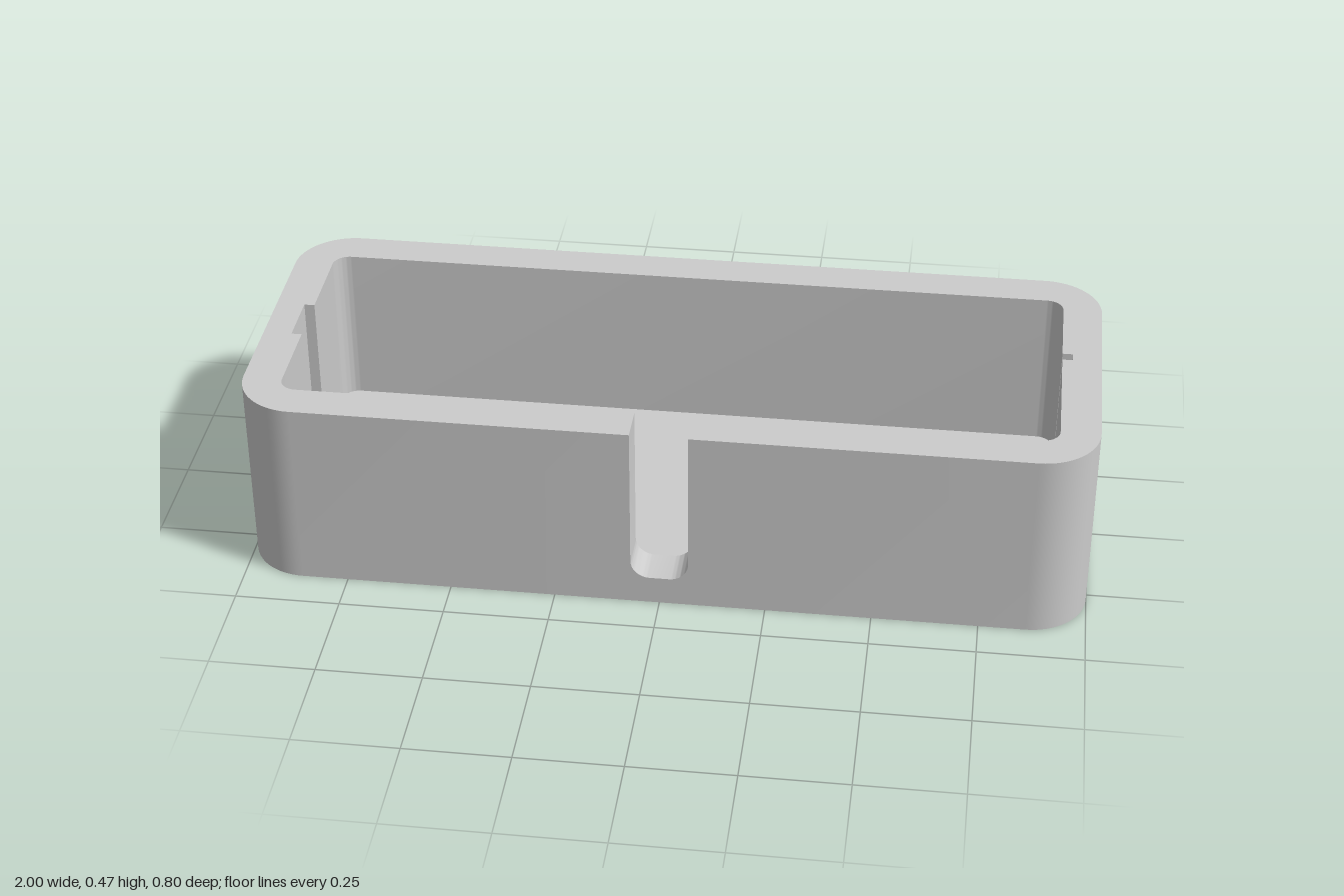
import * as THREE from 'three';
import { toCreasedNormals } from 'three/addons/utils/BufferGeometryUtils.js';

const H = 0.47, FLOOR = 0.07;            // total height, floor thickness
const OX = 1, OZ = 0.402, OR = 0.14;     // outer half sizes and corner radius
const IX = 0.907, IZ = 0.308, IR = 0.04; // cavity half sizes and corner radius
const SLOT = 0.068, SLOT_R = 0.045;      // slot half width and bottom corner radius
const NOTCH_X = 0.932;                   // depth reached by the end-wall notches

const material = new THREE.MeshStandardMaterial({ color: 0xcccccc });

// Rounded rectangle in plan (y = -z), counter-clockwise from one side of the slot to the other.
// Each notch is a [low, high] range along an end wall.
function planLoop(hx, hz, r, rightNotch, leftNotch) {
  const p = new THREE.Path();
  p.absarc(hx - r, -hz + r, r, -Math.PI / 2, 0, false);
  if (rightNotch) {
    const [a, b] = rightNotch;
    p.lineTo(hx, a).lineTo(NOTCH_X, a).lineTo(NOTCH_X, b).lineTo(hx, b);
  }
  p.absarc(hx - r, hz - r, r, 0, Math.PI / 2, false);
  p.absarc(-hx + r, hz - r, r, Math.PI / 2, Math.PI, false);
  if (leftNotch) {
    const [a, b] = leftNotch;
    p.lineTo(-hx, b).lineTo(-NOTCH_X, b).lineTo(-NOTCH_X, a).lineTo(-hx, a);
  }
  p.absarc(-hx + r, -hz + r, r, Math.PI, Math.PI * 1.5, false);
  return [new THREE.Vector2(SLOT, -hz), ...p.getPoints(8), new THREE.Vector2(-SLOT, -hz)];
}

// Ruled surface between two matching rows of points.
function ribbon(a, b) {
  const pos = [];
  for (let i = 0; i < a.length - 1; i++) {
    for (const p of [a[i], a[i + 1], b[i + 1], a[i], b[i + 1], b[i]]) pos.push(...p);
  }
  const g = new THREE.BufferGeometry();
  g.setAttribute('position', new THREE.Float32BufferAttribute(pos, 3));
  return toCreasedNormals(g, 0.6);
}

// Vertical wall over a plan line.
const wall = (pts, y0, y1) =>
  ribbon(pts.map(p => [p.x, y0, -p.y]), pts.map(p => [p.x, y1, -p.y]));

// Flat horizontal face at height y, facing up (side 1) or down (side -1).
const plate = (pts, y, side = 1) =>
  new THREE.ShapeGeometry(new THREE.Shape(pts)).rotateX(-side * Math.PI / 2).translate(0, y, 0);

export function createModel() {
  const group = new THREE.Group();
  group.name = 'openTray';
  const add = (name, geometry) => {
    const mesh = new THREE.Mesh(geometry, material);
    mesh.name = name;
    group.add(mesh);
  };

  const outer = planLoop(OX, OZ, OR);
  const inner = planLoop(IX, IZ, IR, [0.042, 0.068], [-0.067, 0.068]);
  const innerReversed = [...inner].reverse();

  // Shell: underside, cavity floor, side walls and the rim broken by the slot
  add('underside', plate(outer, 0, -1));
  add('cavityFloor', plate(inner, FLOOR));
  add('outerWall', wall(outer, 0, H));
  add('innerWall', wall(innerReversed, FLOOR, H));
  add('rim', plate([...outer, ...innerReversed], H));

  // Slot: U profile through the front wall
  const u = new THREE.Path();
  u.absarc(-SLOT + SLOT_R, FLOOR + SLOT_R, SLOT_R, Math.PI, Math.PI * 1.5, false);
  u.absarc(SLOT - SLOT_R, FLOOR + SLOT_R, SLOT_R, -Math.PI / 2, 0, false);
  const sill = u.getPoints(8);
  const profile = [new THREE.Vector2(-SLOT, H), ...sill, new THREE.Vector2(SLOT, H)];
  add('slotSurface', ribbon(profile.map(p => [p.x, p.y, OZ]), profile.map(p => [p.x, p.y, IZ])));

  // Wall faces left below the slot, outside and inside
  const back = [...sill].reverse();
  add('slotSillOuter', ribbon(sill.map(p => [p.x, 0, OZ]), sill.map(p => [p.x, p.y, OZ])));
  add('slotSillInner', ribbon(back.map(p => [p.x, FLOOR, IZ]), back.map(p => [p.x, p.y, IZ])));

  return group;
}
